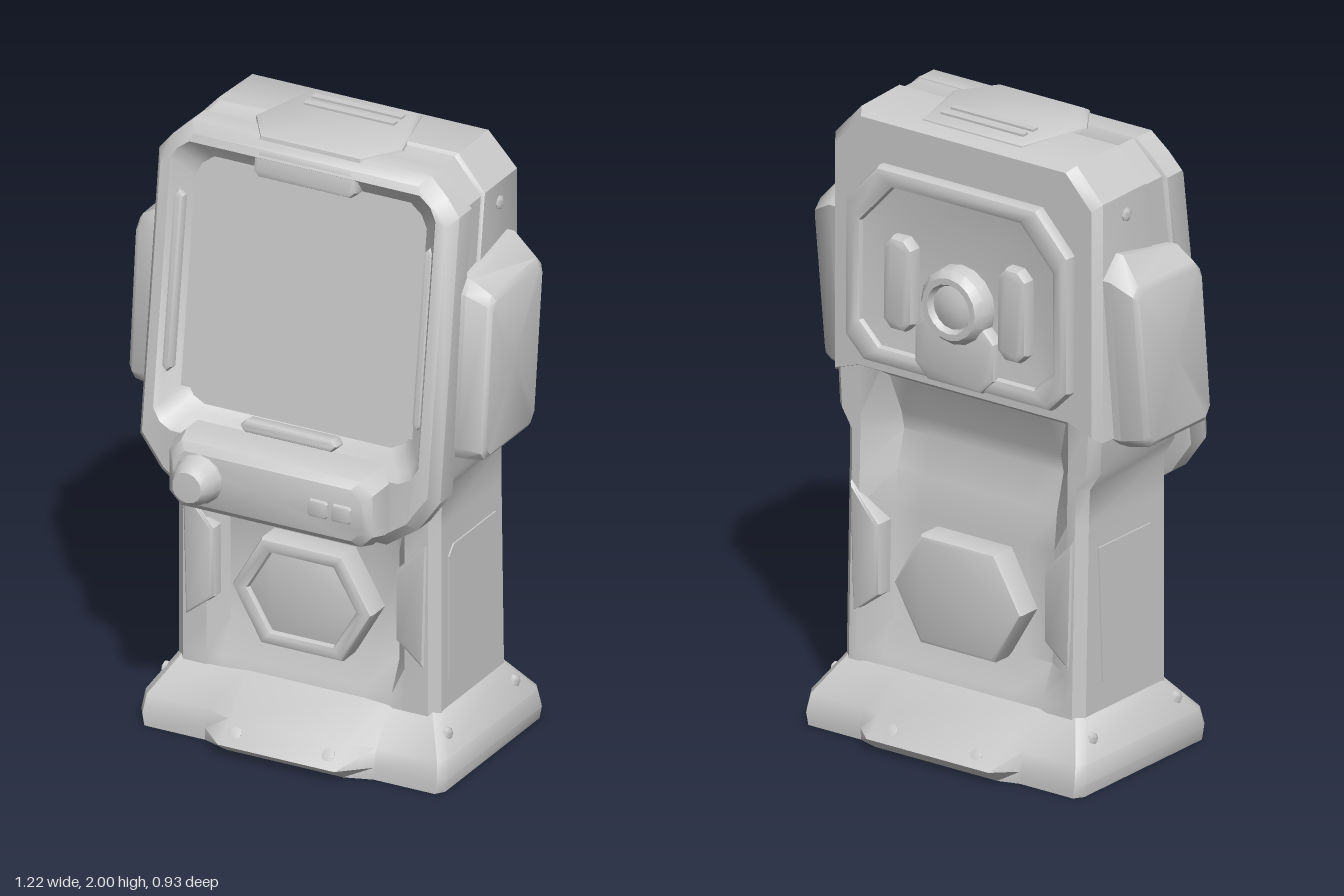
import * as THREE from 'three';
import { toCreasedNormals } from 'three/addons/utils/BufferGeometryUtils.js';

const grey = new THREE.MeshStandardMaterial({ color: 0xcccccc });

function mesh(name, geometry, parent) {
  const m = new THREE.Mesh(toCreasedNormals(geometry, 0.65), grey);
  m.name = name;
  parent.add(m);
  return m;
}

// Closed skin through loops of [x, y, z] points, capped at both ends and facing outwards.
function loft(loops) {
  const pos = [];
  let volume = 0;
  const a = new THREE.Vector3(), b = new THREE.Vector3(), c = new THREE.Vector3();
  const tri = (p, q, r) => {
    pos.push(...p, ...q, ...r);
    volume += a.set(...p).dot(b.set(...q).cross(c.set(...r)));
  };
  const n = loops[0].length;
  const centre = (l) => [0, 1, 2].map((k) => l.reduce((s, p) => s + p[k], 0) / n);
  const first = loops[0], last = loops[loops.length - 1];
  const c0 = centre(first), c1 = centre(last);
  for (let i = 0; i < n; i++) {
    const j = (i + 1) % n;
    for (let k = 0; k + 1 < loops.length; k++) {
      const p = loops[k], q = loops[k + 1];
      tri(p[i], p[j], q[j]);
      tri(p[i], q[j], q[i]);
    }
    tri(c0, first[j], first[i]);
    tri(c1, last[i], last[j]);
  }
  if (volume < 0) {
    for (let t = 0; t < pos.length; t += 9) {
      for (let k = 0; k < 3; k++) [pos[t + 3 + k], pos[t + 6 + k]] = [pos[t + 6 + k], pos[t + 3 + k]];
    }
  }
  const g = new THREE.BufferGeometry();
  g.setAttribute('position', new THREE.Float32BufferAttribute(pos, 3));
  return g;
}

// Full outline from its +x half.
const mirror = (half) => [...half, ...half.map(([x, v]) => [-x, v]).reverse()];

// Shrink an outline about a centre height.
const inset = (pts, d, mid) => pts.map(([x, y]) => [x - Math.sign(x) * d, y - Math.sign(y - mid) * d]);

// Bevelled plate in the xy plane, standing from z = 0 to z = depth.
function plate(pts, depth, bevel, holePts) {
  const s = new THREE.Shape(pts.map((p) => new THREE.Vector2(...p)));
  if (holePts) s.holes.push(new THREE.Path(holePts.map((p) => new THREE.Vector2(...p))));
  return new THREE.ExtrudeGeometry(s, {
    depth: depth - bevel, bevelThickness: bevel, bevelSize: bevel, bevelOffset: -bevel, bevelSegments: 2,
  });
}

// Chamfered rectangle outline.
const cham = (w, y0, y1, c) => mirror([[w - c, y0], [w, y0 + c], [w, y1 - c], [w - c, y1]]);

// Turned part whose axis points along +z.
function turned(profile, sides) {
  const g = new THREE.LatheGeometry(profile.map((p) => new THREE.Vector2(...p)), sides);
  return g.rotateX(Math.PI / 2);
}

// Sloping screen plane, vertical below y = 1.
const frontZ = (y) => 0.285 - 0.137 * Math.max(0, y - 1);

export function createModel() {
  const model = new THREE.Group();
  model.name = 'arcadeTerminal';

  // Flared base with wide corners and a tongue at front and back
  const baseLoop = (y, x, zf, zb, tf, tb) => mirror([
    [0.2, tf], [0.29, zf], [x - 0.02, zf], [x, zf - 0.03], [x, zb + 0.03], [x - 0.02, zb], [0.3, zb], [0.23, tb],
  ]).map(([px, pz]) => [px, y, pz]);
  mesh('base', loft([
    baseLoop(0, 0.518, 0.25, -0.398, 0.28, -0.42),
    baseLoop(0.04, 0.525, 0.25, -0.4, 0.335, -0.465),
    baseLoop(0.1, 0.518, 0.235, -0.385, 0.27, -0.4),
    baseLoop(0.21, 0.45, 0.14, -0.295, 0.145, -0.3),
  ]), model);

  // Pedestal with a sunken middle at front and back, widening into the head
  const bodyLoop = ([y, df, db, x]) => {
    const f = 0.15, b = -0.305 + 0.025 * Math.min(1, y);
    return mirror([
      [0.2, f - df], [0.29, f - df], [0.34, f], [x - 0.03, f], [x, f - 0.03],
      [x, b + 0.03], [x - 0.03, b], [0.39, b], [0.3, b + db], [0.2, b + db],
    ]).map(([px, pz]) => [px, y, pz]);
  };
  mesh('pedestal', loft([
    [0.19, 0, 0, 0.45], [0.24, 0.01, 0.01, 0.45], [0.34, 0.06, 0.06, 0.45], [0.7, 0.06, 0.06, 0.45],
    [0.82, 0.03, 0.07, 0.45], [0.94, 0.01, 0.1, 0.452], [1.0, 0, 0.085, 0.49], [1.19, 0, 0, 0.5],
  ].map(bodyLoop)), model);

  // Hexagonal badges and corner braces on both faces of the pedestal
  const hex = (w, h) => [[w, 0], [w * 0.58, h], [-w * 0.58, h], [-w, 0], [-w * 0.58, -h], [w * 0.58, -h]];
  const hexRing = hex(0.24, 0.175), hexCore = hex(0.185, 0.13);
  for (const [side, z, spin] of [['front', 0.08, 0], ['back', -0.22, Math.PI]]) {
    const g = new THREE.Group();
    g.name = side + 'Badge';
    g.position.set(0, 0.5, z);
    g.rotation.y = spin;
    mesh('badgeRim', plate(hexRing, 0.1, 0.015, spin ? null : hexCore), g);
    if (!spin) mesh('badgeCore', plate(hex(0.19, 0.135), 0.08, 0.005), g);
    for (const s of [1, -1]) {
      const pts = [[0.42, 0.28], [0.31, 0.16], [0.31, -0.07], [0.41, -0.15]].map(([x, y]) => [s * x, y]);
      mesh('brace', plate(pts, 0.078, 0.015), g);
    }
    model.add(g);
  }

  // Head shell, its front following the screen slope
  const shell = mirror([[0.42, 1.13], [0.508, 1.1], [0.508, 1.88], [0.41, 1.985]]);
  const flat = (pts, z) => pts.map(([x, y]) => [x, y, z]);
  const slope = (pts, d) => pts.map(([x, y]) => [x, y, frontZ(y) + d]);
  mesh('headShell', loft([
    flat(inset(shell, 0.025, 1.5), -0.285), flat(inset(shell, 0.005, 1.5), -0.255),
    slope(shell, -0.21), slope(inset(shell, 0.008, 1.5), -0.2), slope(inset(shell, 0.008, 1.5), -0.06),
  ]), model);

  // Screen surround with the recessed screen
  const rim = mirror([[0.33, 0.79], [0.44, 0.865], [0.515, 0.97], [0.515, 1.87], [0.47, 1.925], [0.41, 1.98]]);
  const opening = mirror([[0.34, 1.07], [0.38, 1.09], [0.405, 1.13], [0.405, 1.81], [0.385, 1.85], [0.345, 1.88]]);
  mesh('screenSurround', loft([
    slope(inset(rim, 0.012, 1.4), -0.125), slope(rim, -0.115), slope(rim, -0.04), slope(inset(rim, 0.025, 1.4), -0.005),
    slope(inset(opening, -0.05, 1.4), 0), slope(inset(opening, -0.035, 1.4), -0.02),
    slope(opening, -0.05), slope(inset(opening, 0.02, 1.4), -0.075),
  ]), model);

  // Tabs and strips framing the screen
  const tilt = -Math.atan(0.137);
  const onScreen = (name, w, h, x, y, lift) => {
    const m = mesh(name, plate(cham(w, -h, h, 0.018), 0.05, 0.012), model);
    m.position.set(x, y, frontZ(y) + lift);
    m.rotation.x = tilt;
  };
  onScreen('topTab', 0.175, 0.045, 0, 1.905, -0.052);
  onScreen('bottomTab', 0.165, 0.02, 0, 1.075, -0.06);
  for (const s of [1, -1]) onScreen('screenStrip', 0.018, 0.29, s * 0.43, 1.47, -0.065);

  // Raised cap on top of the head, with slats
  const capLoop = (y, k) => mirror([[0.17, 0.12], [0.25, 0], [0.185, -0.24]])
    .map(([x, z]) => [x * k, y, -0.06 + (z + 0.06) * k]);
  mesh('topCap', loft([capLoop(1.95, 1.04), capLoop(1.985, 1), capLoop(1.993, 0.93)]), model);
  for (const z of [-0.18, -0.13]) {
    mesh('topSlat', new THREE.BoxGeometry(0.31, 0.02, 0.025), model).position.set(0, 1.99, z);
  }

  // Side pods and flush side panels
  const podEdge = [[0.14, 1.08], [0.16, 1.12], [0.115, 1.61], [0.08, 1.65], [-0.19, 1.7], [-0.255, 1.63], [-0.2, 1.1], [-0.16, 1.07]];
  const podFace = [[0.115, 1.1], [0.135, 1.13], [0.095, 1.56], [0.07, 1.59], [-0.19, 1.6], [-0.215, 1.57], [-0.165, 1.13], [-0.14, 1.1]];
  const panel = [[0.08, 0.3], [0.08, 0.71], [0.05, 0.74], [-0.21, 0.74], [-0.19, 0.3]];
  for (const s of [1, -1]) {
    const at = (pts, x) => pts.map(([z, y]) => [s * x, y, z]);
    mesh(s > 0 ? 'leftPod' : 'rightPod', loft([
      at(podEdge, 0.47), at(podEdge, 0.53),
      at(podFace.map(([z, y]) => [z * 1.08, y + (y > 1.4 ? 0.02 : -0.018)]), 0.598), at(podFace, 0.612),
    ]), model);
    mesh('sidePanel', loft([at(panel, 0.44), at(panel, 0.455)]), model);
    // Small bolts on the sides
    for (const [x, y, z] of [[0.482, 0.15, 0.14], [0.482, 0.15, -0.28], [0.503, 1.81, -0.14]]) {
      mesh('sideBolt', turned([[0, -0.02], [0.022, -0.02], [0.022, 0.006], [0.012, 0.012], [0, 0.012]], 8)
        .rotateY(s * Math.PI / 2), model).position.set(s * x, y, z);
    }
  }

  // Bolts on the base tongues
  for (const x of [-0.16, 0.16]) {
    for (const [z, spin] of [[0.3, 0], [-0.43, Math.PI]]) {
      const b = mesh('baseBolt', turned([[0, -0.02], [0.022, -0.02], [0.022, 0.002], [0, 0.006]], 8), model);
      b.position.set(x, 0.072, z);
      b.rotation.set(spin ? 0.7 : -0.7, spin, 0);
    }
  }

  // Control desk, sloping back at its top edge
  const desk = cham(0.36, 0.815, 1.055, 0.04);
  mesh('controlDesk', loft([
    flat(desk, 0.2), flat(desk, 0.31), flat(inset(desk, 0.012, 0.93), 0.365), flat(inset(desk, 0.035, 0.93), 0.387),
  ]), model);
  mesh('knob', turned([[0, -0.02], [0.08, -0.02], [0.08, 0.008], [0.073, 0.02], [0.07, 0.045], [0.05, 0.078], [0, 0.08]], 14), model)
    .position.set(-0.235, 0.94, 0.387);
  for (const x of [0.175, 0.255]) {
    mesh('button', plate(cham(0.034, -0.028, 0.028, 0.008), 0.022, 0.008), model).position.set(x, 0.935, 0.378);
  }

  // Back panel: raised frame, floor dipping towards the lens, twin capsules and a round lens
  const back = new THREE.Group();
  back.name = 'backPanel';
  back.position.z = -0.275;
  back.rotation.y = Math.PI;
  const frame = mirror([[0.35, 1.19], [0.42, 1.26], [0.42, 1.7], [0.3, 1.83]]);
  mesh('panelFrame', plate(frame, 0.052, 0.02, inset(frame, 0.06, 1.5)), back);
  mesh('panelFloor', loft([
    flat(inset(frame, 0.03, 1.5), 0), flat(inset(frame, 0.03, 1.5), 0.038), flat(inset(frame, 0.15, 1.5), 0.015),
  ]), back);
  for (const s of [1, -1]) {
    mesh('capsule', plate(cham(0.055, -0.15, 0.15, 0.03), 0.062, 0.02), back).position.set(s * 0.215, 1.47, 0);
  }
  mesh('lensBracket', plate(mirror([[0.1, 1.19], [0.15, 1.24], [0.15, 1.36], [0.09, 1.42]]), 0.06, 0.015), back);
  mesh('lens', turned([[0, 0], [0.125, 0], [0.12, 0.06], [0.1, 0.085], [0.08, 0.085], [0.07, 0.065], [0.04, 0.075], [0, 0.078]], 16), back)
    .position.set(0, 1.45, 0);
  model.add(back);

  return model;
}
